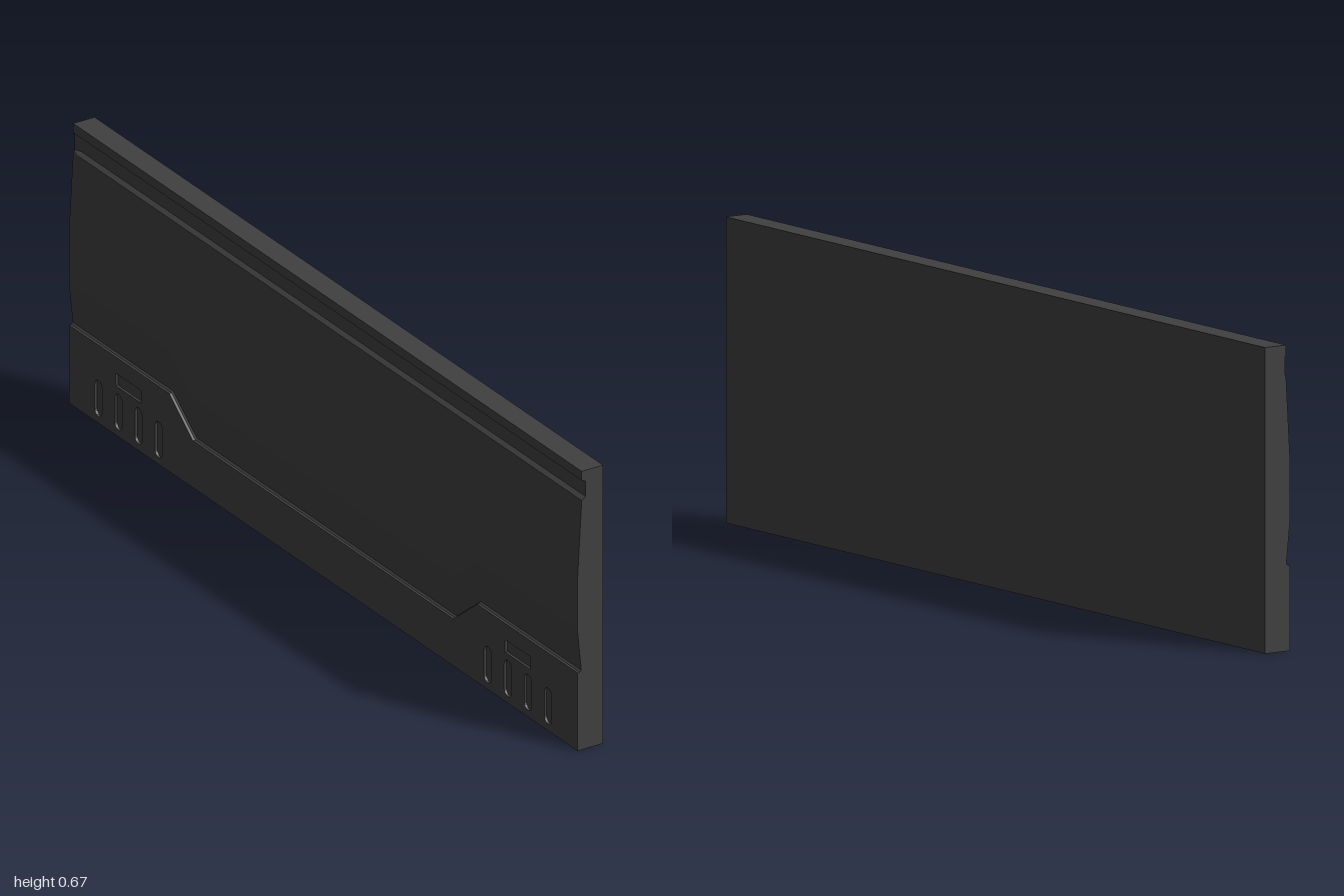
import * as THREE from 'three';

const material = new THREE.MeshStandardMaterial({ color: 0x404040, flatShading: true });
const HALF = 1, TOP = 0.667, FACE = -0.033, FLOOR = -0.027;
const LOW = 0.113, HIGH = 0.187, Z_LOW = 0.512, Z_HIGH = 0.605;

// Height of the skirting along the panel: low in the middle, raised at both ends
const skirtHeight = z => THREE.MathUtils.mapLinear(
  THREE.MathUtils.clamp(Math.abs(z), Z_LOW, Z_HIGH), Z_LOW, Z_HIGH, LOW, HIGH);

// Cross-section of the wall at z, counter-clockwise as seen from +z
function section(z) {
  const h = skirtHeight(z);
  const groove = z === -HALF ? -0.019 : -0.012;
  return [
    [0.033, 0], [0.033, TOP], [-0.022, TOP], [-0.022, 0.645], [groove, 0.641],
    [groove, 0.604], [-0.022, 0.597], [FACE, 0.405], [FACE, h + 0.103],
    [-0.023, h + 0.004], [FLOOR, h], [FLOOR, 0],
  ].map(([x, y]) => new THREE.Vector3(x, y, z));
}

// Skin the cross-sections and close both ends
function loft(rings) {
  const points = [];
  for (let r = 0; r < rings.length - 1; r++) {
    const a = rings[r], b = rings[r + 1];
    a.forEach((p, i) => {
      const j = (i + 1) % a.length;
      points.push(p, a[j], b[j], p, b[j], b[i]);
    });
  }
  const first = rings[0], last = rings[rings.length - 1];
  const cap = ring => THREE.ShapeUtils.triangulateShape(ring.map(p => new THREE.Vector2(p.x, p.y)), []);
  cap(last).forEach(([i, j, k]) => points.push(last[i], last[j], last[k]));
  cap(first).forEach(([i, j, k]) => points.push(first[k], first[j], first[i]));
  const geometry = new THREE.BufferGeometry().setFromPoints(points);
  geometry.computeVertexNormals();
  return geometry;
}

// Upright slot with rounded ends
function slot(z, y0, y1, r) {
  const path = new THREE.Path();
  path.absarc(z, y1 - r, r, 0, Math.PI, false);
  path.absarc(z, y0 + r, r, Math.PI, Math.PI * 2, false);
  path.closePath();
  return path;
}

// Small rectangular recess above the slots
function plateRecess(z) {
  const w = 0.05;
  return new THREE.Path([
    [z - w, 0.118], [z + w, 0.118], [z + w, 0.148], [z - w, 0.148],
  ].map(([x, y]) => new THREE.Vector2(x, y)));
}

export function createModel() {
  const group = new THREE.Group();
  group.name = 'wallPanel';

  // Main wall with its groove, bulged face and lower bevel
  const stations = [-HALF, -0.98, -Z_HIGH, -Z_LOW, Z_LOW, Z_HIGH, HALF];
  const wall = new THREE.Mesh(loft(stations.map(section)), material);
  wall.name = 'wall';
  group.add(wall);

  // Skirting plate with recessed vents near both ends
  const outline = new THREE.Shape([
    [-HALF, 0], [HALF, 0], [HALF, HIGH], [Z_HIGH, HIGH], [Z_LOW, LOW],
    [-Z_LOW, LOW], [-Z_HIGH, HIGH], [-HALF, HIGH],
  ].map(([z, y]) => new THREE.Vector2(z, y)));
  for (const side of [-1, 1]) {
    for (let i = 0; i < 4; i++) outline.holes.push(slot(side * (0.647 + i * 0.079), 0.016, 0.102, 0.014));
    outline.holes.push(plateRecess(side * 0.766));
  }
  const plate = new THREE.ExtrudeGeometry(outline, { depth: FLOOR - FACE, bevelEnabled: false, curveSegments: 6 });
  plate.rotateY(-Math.PI / 2);
  plate.translate(FLOOR, 0, 0);
  const skirting = new THREE.Mesh(plate, material);
  skirting.name = 'skirting';
  group.add(skirting);

  return group;
}
